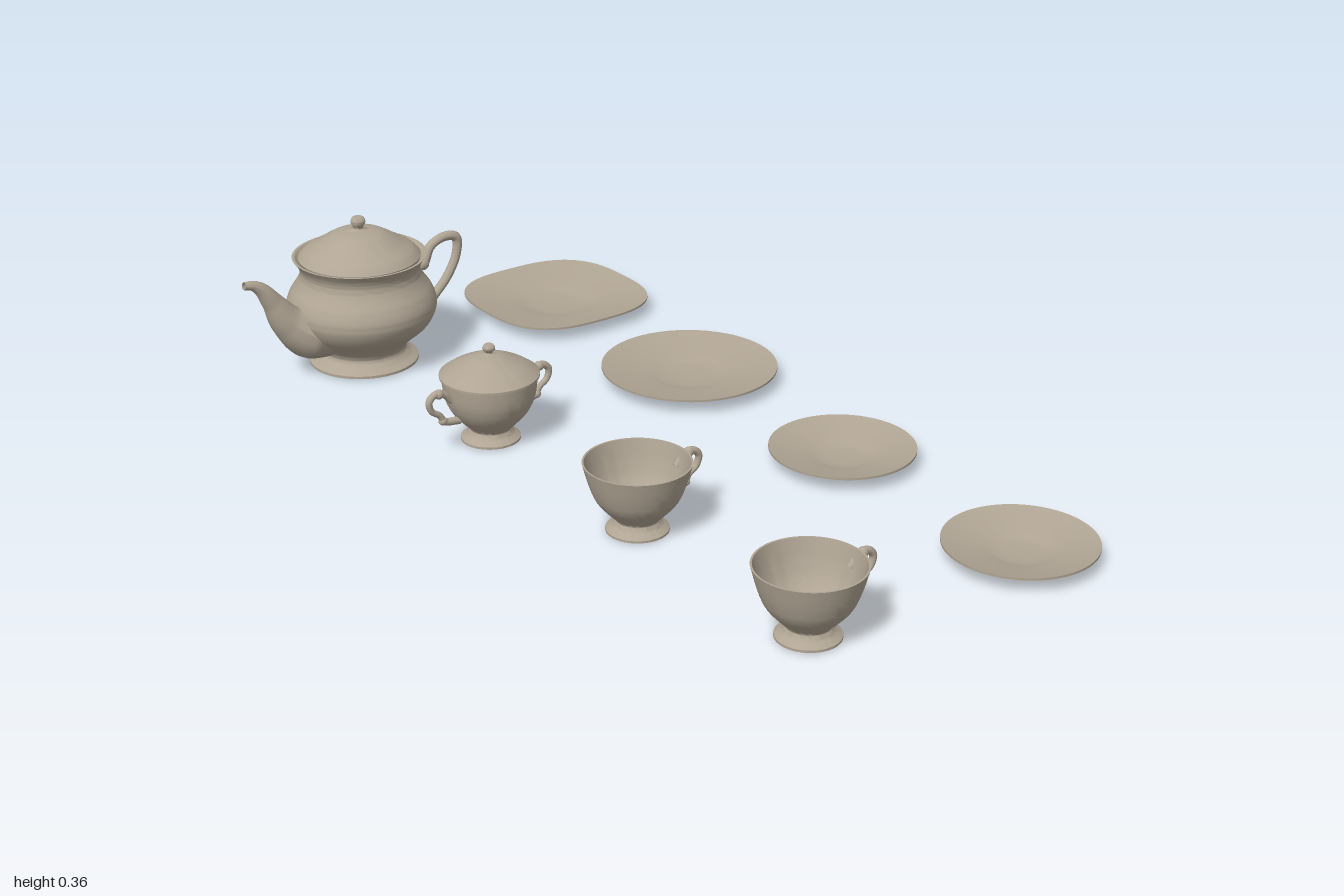
import * as THREE from 'three';
import { toCreasedNormals } from 'three/addons/utils/BufferGeometryUtils.js';

const china = new THREE.MeshStandardMaterial({ color: 0xb0a594, side: THREE.DoubleSide });
china.name = 'beige china';

const add = (parent, name, geometry) => {
  const mesh = new THREE.Mesh(geometry, china);
  mesh.name = name;
  parent.add(mesh);
  return mesh;
};
const v2 = (list) => list.map(([r, y]) => new THREE.Vector2(r, y));

// Turned shape: each section is smoothed by a spline, sections meet at sharp edges
function turned(sections, segments = 64) {
  const pts = [];
  for (const s of sections) {
    const p = v2(s);
    const run = p.length > 2 ? new THREE.SplineCurve(p).getPoints(p.length * 4) : p;
    for (const q of run) {
      q.x = Math.max(q.x, 0);
      if (!pts.length || pts[pts.length - 1].distanceTo(q) > 1e-5) pts.push(q);
    }
  }
  return toCreasedNormals(new THREE.LatheGeometry(pts, segments), 0.7);
}

// Tube in the z-y plane through [z, y, radius] points, its radius following along
function taperedTube(points, steps = 48, sides = 16) {
  const path = new THREE.CatmullRomCurve3(points.map(([z, y]) => new THREE.Vector3(0, y, z)));
  const geo = new THREE.TubeGeometry(path, steps, 1, sides, false);
  const pos = geo.attributes.position, v = new THREE.Vector3();
  for (let i = 0; i <= steps; i++) {
    const centre = path.getPointAt(i / steps);
    const t = path.getUtoTmapping(i / steps) * (points.length - 1);
    const k = Math.min(Math.floor(t), points.length - 2);
    const r = THREE.MathUtils.lerp(points[k][2], points[k + 1][2], t - k);
    for (let j = 0; j <= sides; j++) {
      const n = i * (sides + 1) + j;
      v.fromBufferAttribute(pos, n).sub(centre).multiplyScalar(r).add(centre);
      pos.setXYZ(n, v.x, v.y, v.z);
    }
  }
  geo.computeVertexNormals();
  return geo;
}

function ball(parent, name, r, y, z) {
  add(parent, name, new THREE.SphereGeometry(r, 16, 12)).position.set(0, y, z);
}

// Scrolled loop handle on the back of a small vessel
function smallHandle(parent, turn = 0) {
  const handle = new THREE.Group();
  handle.name = 'handle';
  add(handle, 'handleLoop', taperedTube([
    [-0.098, 0.118, 0.008], [-0.117, 0.138, 0.008], [-0.138, 0.144, 0.008], [-0.155, 0.13, 0.008],
    [-0.15, 0.107, 0.007], [-0.13, 0.092, 0.007], [-0.118, 0.075, 0.008], [-0.08, 0.068, 0.009]]));
  ball(handle, 'upperScroll', 0.011, 0.142, -0.13);
  ball(handle, 'lowerScroll', 0.01, 0.077, -0.122);
  handle.rotation.y = turn;
  parent.add(handle);
}

// Foot and outer wall shared by the cups and the sugar bowl
const footAndWall = (rim) => [
  [[0, 0.012], [0.05, 0.012]], [[0.05, 0.012], [0.066, 0.005]], [[0.066, 0.005], [0.066, 0.01]],
  [[0.066, 0.01], [0.052, 0.02], [0.046, 0.032], [0.06, 0.046], [0.085, 0.075], [0.1, 0.11], [rim, 0.157]]];

function cup() {
  const g = new THREE.Group();
  g.name = 'cup';
  add(g, 'cupBowl', turned([...footAndWall(0.113), [[0.113, 0.157], [0.109, 0.157]],
    [[0.109, 0.157], [0.096, 0.11], [0.08, 0.076], [0.055, 0.052], [0.03, 0.043], [0, 0.041]]]));
  smallHandle(g);
  return g;
}

function sugarBowl() {
  const g = new THREE.Group();
  g.name = 'sugarBowl';
  add(g, 'sugarBody', turned([...footAndWall(0.106), [[0.106, 0.157], [0, 0.157]]]));
  add(g, 'sugarLid', turned([[[0.104, 0.152], [0.11, 0.154]], [[0.11, 0.154], [0.11, 0.159]],
    [[0.11, 0.159], [0.085, 0.176], [0.058, 0.189], [0.032, 0.2], [0.011, 0.204]],
    [[0.011, 0.204], [0.008, 0.208], [0.014, 0.217], [0.01, 0.226], [0, 0.229]]]));
  smallHandle(g);
  smallHandle(g, Math.PI);
  return g;
}

function teapot() {
  const g = new THREE.Group();
  g.name = 'teapot';
  add(g, 'potBody', turned([
    [[0, 0.015], [0.1, 0.015]], [[0.1, 0.015], [0.128, 0.006]], [[0.128, 0.006], [0.128, 0.012]],
    [[0.128, 0.012], [0.108, 0.024], [0.099, 0.04], [0.118, 0.065], [0.157, 0.1], [0.175, 0.14],
      [0.168, 0.175], [0.149, 0.205], [0.14, 0.226], [0.143, 0.246], [0.156, 0.266]],
    [[0.156, 0.266], [0.15, 0.266]], [[0.15, 0.266], [0.136, 0.252]], [[0.136, 0.252], [0, 0.252]]]));
  add(g, 'potLid', turned([
    [[0.138, 0.252], [0.142, 0.264]],
    [[0.142, 0.264], [0.126, 0.28], [0.102, 0.294], [0.078, 0.309], [0.052, 0.322], [0.014, 0.328]],
    [[0.014, 0.328], [0.011, 0.333], [0.017, 0.345], [0.013, 0.357], [0, 0.361]]]));
  // Swan-neck spout towards the front
  add(g, 'spout', taperedTube([
    [0.07, 0.105, 0.066], [0.145, 0.112, 0.066], [0.195, 0.146, 0.042], [0.231, 0.2, 0.025],
    [0.257, 0.237, 0.017], [0.277, 0.252, 0.012], [0.301, 0.257, 0.009]]));
  // Tall ear handle at the back
  add(g, 'potHandle', taperedTube([
    [-0.15, 0.195, 0.013], [-0.172, 0.207, 0.013], [-0.192, 0.242, 0.011], [-0.23, 0.258, 0.011],
    [-0.263, 0.25, 0.012], [-0.263, 0.208, 0.011], [-0.235, 0.155, 0.011], [-0.195, 0.113, 0.011],
    [-0.17, 0.082, 0.012], [-0.14, 0.088, 0.012]]));
  ball(g, 'handleUpperScroll', 0.017, 0.205, -0.168);
  ball(g, 'handleLowerScroll', 0.016, 0.075, -0.166);
  return g;
}

// Shallow dish; a power above 2 squares its outline towards the rim
function dish(name, radius, power = 2) {
  const geo = turned([
    [[0, 0.003], [0.052, 0.003]], [[0.052, 0.003], [radius * 0.6, 0.019]],
    [[radius * 0.6, 0.019], [radius, 0.034]], [[radius, 0.034], [radius, 0.039]],
    [[radius, 0.039], [radius * 0.8, 0.031], [radius * 0.5, 0.02], [radius * 0.3, 0.012], [0, 0.01]]], 80);
  const pos = geo.attributes.position;
  for (let i = 0; i < pos.count; i++) {
    const x = pos.getX(i), z = pos.getZ(i), r = Math.hypot(x, z);
    if (r < 1e-6) continue;
    const stretch = Math.pow(Math.pow(Math.abs(x / r), power) + Math.pow(Math.abs(z / r), power), -1 / power);
    const s = 1 + (stretch - 1) * Math.min(1, r / radius);
    pos.setX(i, x * s);
    pos.setZ(i, z * s);
  }
  const g = new THREE.Group();
  g.name = name;
  add(g, name + 'Dish', power === 2 ? geo : toCreasedNormals(geo, 0.7));
  return g;
}

export function createModel() {
  const set = new THREE.Group();
  set.name = 'teaSet';
  const place = (part, x, z) => {
    part.position.set(x, 0, z);
    set.add(part);
  };
  // Vessels in front
  place(teapot(), -0.797, 0.222);
  place(sugarBowl(), -0.253, 0.222);
  place(cup(), 0.292, 0.222);
  place(cup(), 0.836, 0.222);
  // Dishes behind
  place(dish('squarePlate', 0.204, 2.9), -0.796, -0.325);
  place(dish('roundPlate', 0.203), -0.252, -0.325);
  place(dish('saucer', 0.16), 0.292, -0.325);
  place(dish('saucer', 0.16), 0.838, -0.325);
  return set;
}
